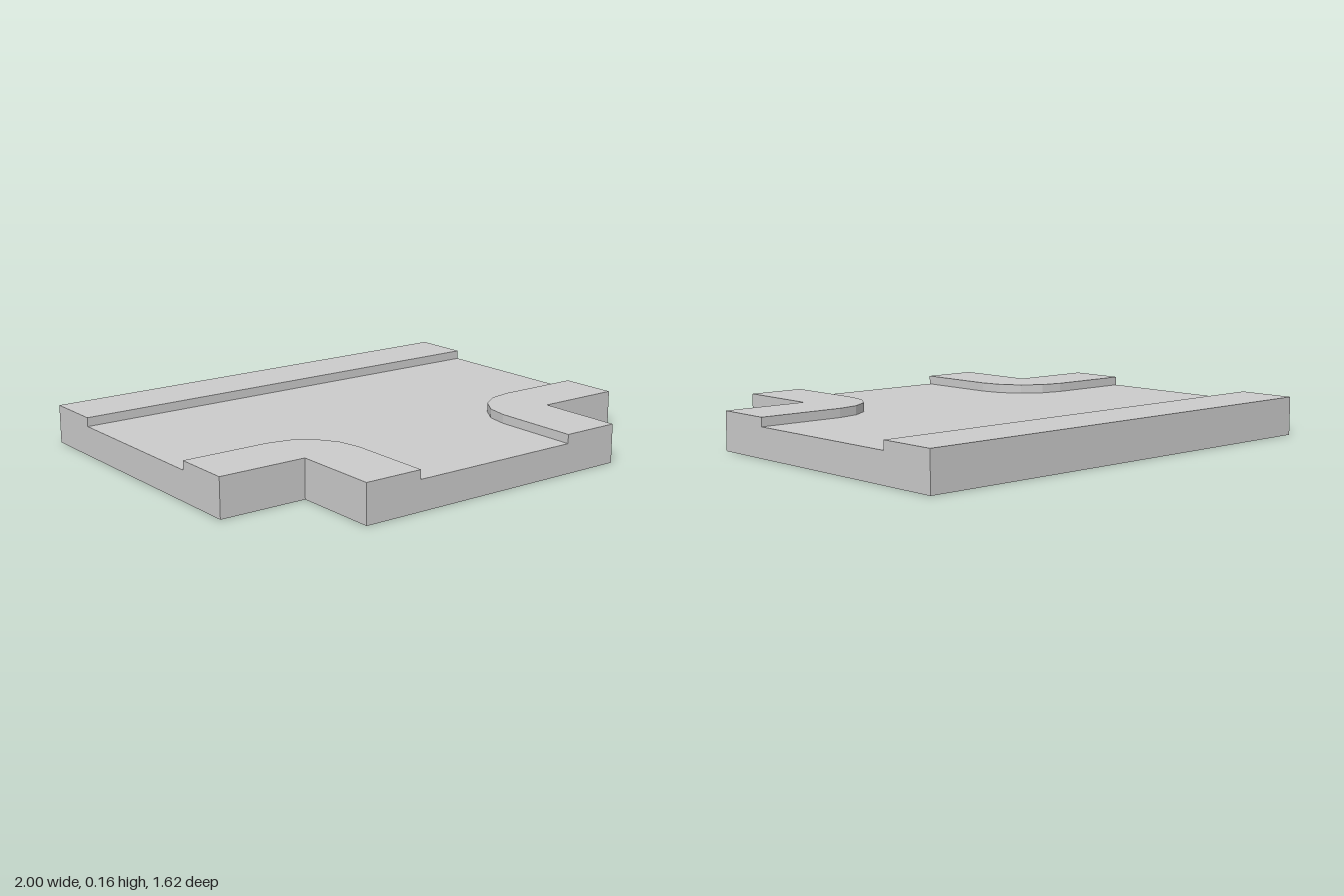
import * as THREE from 'three';

const ROAD = 0.125;           // height of the road surface
const CURB = 0.0375;          // pavement rise above the road
const BACK = -0.8125, FRONT = 0.8125;
const INNER = 0.4375;         // z of the notch corner
const STEM = 0.625;           // half width of the stem
const WALK = 0.25;            // pavement width and corner radius

const material = new THREE.MeshStandardMaterial({ color: 0xcccccc, flatShading: true });

// Extrudes an outline of [x, z] points upwards from the height y
function slab(name, points, y, height) {
  const shape = new THREE.Shape(points.map(([x, z]) => new THREE.Vector2(x, -z)));
  const geometry = new THREE.ExtrudeGeometry(shape, { depth: height, bevelEnabled: false });
  geometry.rotateX(-Math.PI / 2);
  geometry.translate(0, y, 0);
  const mesh = new THREE.Mesh(geometry, material);
  mesh.name = name;
  return mesh;
}

// L-shaped pavement whose road-side edge bends round the notch corner
function cornerPavement(side) {
  const points = [[1, INNER], [1, INNER - WALK]];
  for (let i = 0; i <= 4; i++) {
    const a = (i / 4) * Math.PI / 2;
    points.push([STEM - WALK * Math.sin(a), INNER - WALK * Math.cos(a)]);
  }
  points.push([STEM - WALK, FRONT], [STEM, FRONT], [STEM, INNER]);
  return points.map(([x, z]) => [x * side, z]);
}

export function createModel() {
  const group = new THREE.Group();
  group.name = 'roadJunction';

  // T-shaped road base
  group.add(slab('roadBase', [
    [-1, BACK], [1, BACK], [1, INNER], [STEM, INNER], [STEM, FRONT],
    [-STEM, FRONT], [-STEM, INNER], [-1, INNER],
  ], 0, ROAD));

  // Straight pavement along the back
  group.add(slab('backPavement', [
    [-1, BACK], [1, BACK], [1, BACK + WALK], [-1, BACK + WALK],
  ], ROAD, CURB));

  // Curved pavements at both front corners
  group.add(slab('leftCornerPavement', cornerPavement(1), ROAD, CURB));
  group.add(slab('rightCornerPavement', cornerPavement(-1), ROAD, CURB));

  return group;
}
